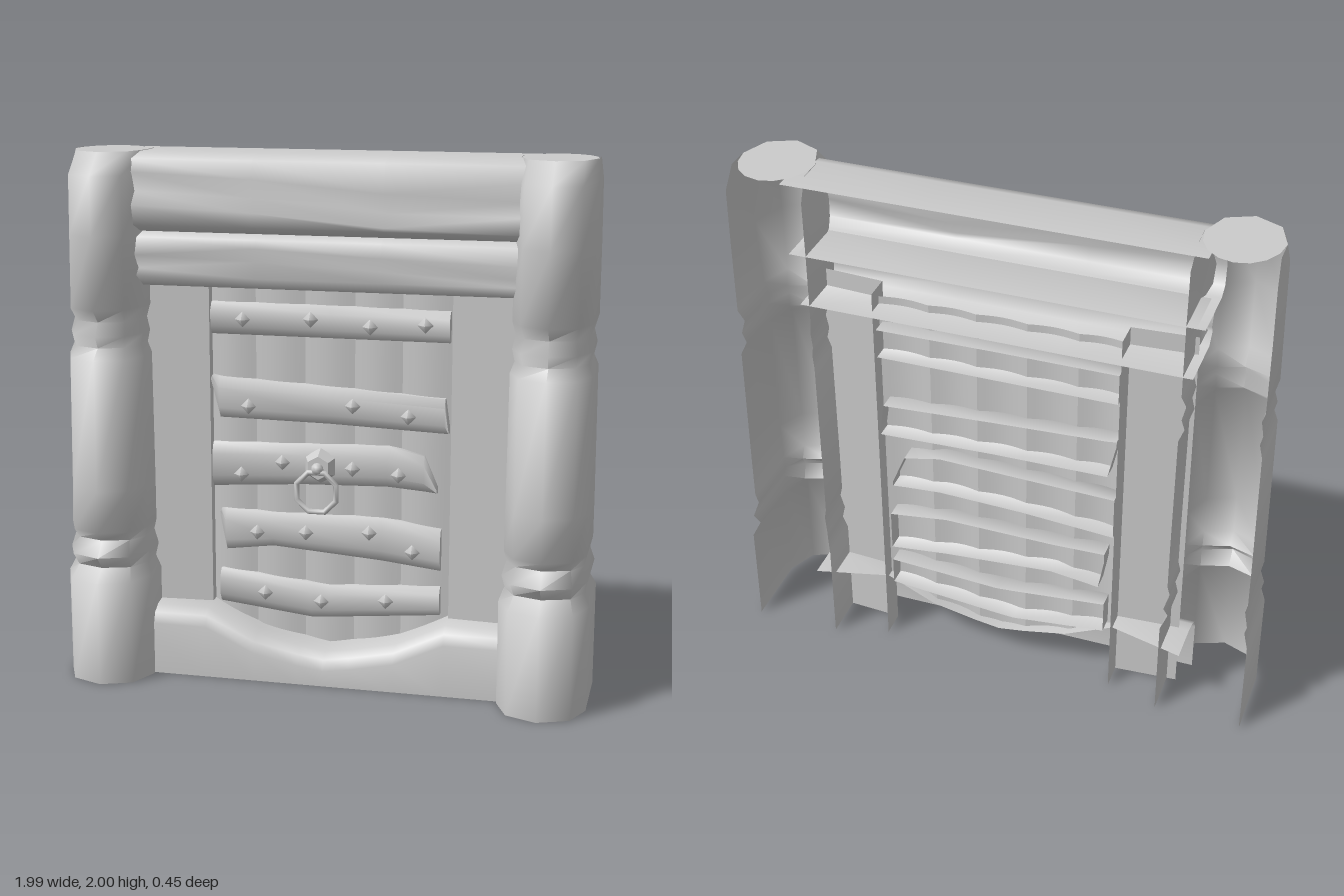
import * as THREE from 'three';
import { toCreasedNormals } from 'three/addons/utils/BufferGeometryUtils.js';

const grey = new THREE.MeshStandardMaterial({ color: 0xcccccc, side: THREE.DoubleSide });

function add(parent, name, geometry) {
  const mesh = new THREE.Mesh(geometry, grey);
  mesh.name = name;
  parent.add(mesh);
  return mesh;
}

// Skin over rows of [x, y, z] points; normals follow (column step) x (row step)
function sheet(rows, crease = 0.8) {
  const n = rows[0].length;
  const index = [];
  for (let i = 0; i < rows.length - 1; i++) {
    for (let j = 0; j < n - 1; j++) {
      const a = i * n + j, b = a + 1, c = a + n, d = c + 1;
      index.push(a, b, d, a, d, c);
    }
  }
  const g = new THREE.BufferGeometry();
  g.setAttribute('position', new THREE.Float32BufferAttribute(rows.flat(2), 3));
  g.setIndex(index);
  return toCreasedNormals(g, crease);
}

// Piecewise linear height of the dipped sill
const sillTop = [[-0.74, 0.27], [-0.46, 0.27], [-0.27, 0.18], [-0.1, 0.145], [0, 0.13],
  [0.1, 0.145], [0.27, 0.18], [0.46, 0.27], [0.74, 0.27]];
function sillHeight(x) {
  const i = Math.max(1, sillTop.findIndex((p) => p[0] >= x));
  const [a, b] = [sillTop[i - 1], sillTop[i]];
  return a[1] + (b[1] - a[1]) * (x - a[0]) / (b[0] - a[0]);
}

// Turned post, rounded in front and open at the back:
// [y, half width, front z, z where the rounding starts, back z]
const postLevels = [
  [0, 0.165, 0.225, 0.07, -0.22], [0.4, 0.165, 0.225, 0.07, -0.22], [0.445, 0.145, 0.165, 0.05, -0.19],
  [0.495, 0.157, 0.21, 0.06, -0.215], [0.55, 0.141, 0.155, 0.05, -0.195], [0.59, 0.15, 0.2, 0.06, -0.2],
  [0.75, 0.15, 0.2, 0.05, -0.2], [1.245, 0.147, 0.192, 0.04, -0.2], [1.285, 0.132, 0.14, 0.03, -0.18],
  [1.33, 0.142, 0.165, 0.03, -0.19], [1.38, 0.131, 0.13, 0.02, -0.18], [1.43, 0.145, 0.182, 0.02, -0.2],
  [1.7, 0.145, 0.182, -0.01, -0.2], [1.92, 0.143, 0.18, -0.02, -0.2], [2, 0.137, 0.09, -0.06, -0.15]];
function post(parent, side) {
  const g = new THREE.Group();
  g.name = side > 0 ? 'leftPost' : 'rightPost';
  g.position.x = 0.83 * side;
  const rows = postLevels.map(([y, w, zf, zs, zb]) => {
    const row = [[-w, y, zb]];
    for (let k = 0; k <= 4; k++) {
      const a = Math.PI * (1 - k / 4);
      row.push([w * Math.cos(a), y, zs + (zf - zs) * Math.sin(a)]);
    }
    row.push([w, y, zb]);
    return row;
  });
  add(g, 'postShell', sheet(rows, 1.4));
  // Flat oval cap: the rounded top edge of the shell closed by an arc at the back
  const outline = rows.at(-1).slice(1, -1).map(([x, , z]) => new THREE.Vector2(x, -z));
  for (let k = 1; k < 8; k++) {
    const a = Math.PI * k / 8;
    outline.push(new THREE.Vector2(0.137 * Math.cos(a), 0.06 + 0.17 * Math.sin(a)));
  }
  add(g, 'postCap', new THREE.ShapeGeometry(new THREE.Shape(outline)).rotateX(-Math.PI / 2).translate(0, 2, 0));
  parent.add(g);
}

// Rough lintel beam, open at the back; profile [y, z], warp tilts the middle ridges along x
function beam(parent, name, profile, halfLength, warp) {
  const rows = [-1, -0.35, 0.3, 1].map((t, s) => profile.map(([y, z], j) => {
    const k = j > 2 && j < profile.length - 3 ? warp[s] : 0;
    return [t * halfLength, y + k, z];
  }));
  add(parent, name, sheet(rows, 1.4));
}

// Strap data: [x, top, bottom] stations and stud positions
const straps = [
  { at: [[-0.455, 1.44, 1.32], [0, 1.44, 1.32], [0.45, 1.435, 1.32]],
    studs: [[-0.33, 1.38], [-0.07, 1.39], [0.155, 1.37], [0.36, 1.385]] },
  { at: [[-0.455, 1.16, 1.14], [-0.425, 1.155, 1.0], [0, 1.135, 0.995], [0.435, 1.11, 0.98], [0.45, 1.0, 0.98]],
    studs: [[-0.31, 1.05], [0.09, 1.07], [0.3, 1.04]] },
  { at: [[-0.455, 0.9, 0.73], [-0.1, 0.91, 0.755], [0.22, 0.92, 0.765], [0.36, 0.89, 0.755], [0.41, 0.77, 0.75]],
    studs: [[-0.34, 0.785], [-0.18, 0.84], [0.09, 0.83], [0.265, 0.815]] },
  { at: [[-0.425, 0.64, 0.6], [-0.405, 0.64, 0.48], [-0.22, 0.635, 0.505], [0.2, 0.64, 0.475], [0.425, 0.61, 0.45]],
    studs: [[-0.28, 0.56], [-0.09, 0.57], [0.155, 0.585], [0.32, 0.52]] },
  { at: [[-0.43, 0.4, 0.27], [-0.07, 0.365, 0.23], [0, 0.36, 0.235], [0.425, 0.385, 0.275]],
    studs: [[-0.25, 0.32], [-0.03, 0.3], [0.22, 0.32]] }];

function strap(parent, { at, studs }) {
  const back = -0.16;
  const rows = at.map(([x, t, b]) => {
    const e = (t - b) * 0.25;
    return [[x, t, back], [x, t, -0.075], [x, t - e, -0.057], [x, b + e, -0.057], [x, b, -0.075], [x, b, back]];
  });
  const end = (row) => row.map(([x, y]) => [x, y, back]);
  add(parent, 'strap', sheet([end(rows[0]), ...rows, end(rows.at(-1))], 1.2));
  for (const [x, y] of studs) {
    const stud = add(parent, 'stud', toCreasedNormals(new THREE.OctahedronGeometry(0.03), 1.5));
    stud.scale.z = 0.8;
    stud.position.set(x, y, -0.055);
  }
}

export function createModel() {
  const model = new THREE.Group();
  model.name = 'doorway';

  // Posts and jambs on both sides
  for (const side of [1, -1]) {
    post(model, side);
    const plan = [[0.7, -0.045], [0.46, -0.06], [0.46, -0.16]].map(([x, z]) => [x * side, z]);
    if (side > 0) plan.reverse();
    add(model, side > 0 ? 'leftJamb' : 'rightJamb',
      sheet([0, 1.58].map((y) => plan.map(([x, z]) => [x, y, z]))));
  }

  // Two lintel beams
  beam(model, 'topBeam', [[1.998, -0.23], [1.998, -0.03], [1.975, 0.035], [1.9, 0.06], [1.83, 0.045],
    [1.78, 0.07], [1.735, 0.06], [1.71, 0.02], [1.71, -0.2]], 0.75, [0.03, 0.01, -0.03, 0.02]);
  beam(model, 'lowerBeam', [[1.712, -0.2], [1.712, 0.0], [1.69, 0.045], [1.64, 0.06], [1.59, 0.04],
    [1.55, 0.055], [1.51, 0.02], [1.51, -0.2]], 0.72, [-0.015, 0.02, 0, -0.015]);

  // Sill: dipped in the middle, its top edge rounded back towards the door
  add(model, 'sill', sheet(sillTop.map(([x, t]) => [
    [x, t, Math.abs(x) > 0.46 ? -0.2 : -0.13], [x, t, -0.05], [x, t - 0.008, 0.0],
    [x, t - 0.03, 0.04], [x, t - 0.07, 0.055], [x, 0, 0.055]]), 1.4));

  // Door of gently bowed planks
  const door = new THREE.Group();
  door.name = 'door';
  model.add(door);
  const seams = [-0.46, -0.29, -0.1, 0.09, 0.27, 0.46];
  for (let i = 0; i < seams.length - 1; i++) {
    const row = [];
    for (let k = 0; k <= 6; k++) {
      const x = seams[i] + (seams[i + 1] - seams[i]) * k / 6;
      row.push([x, -0.1 + 0.012 * Math.sin(Math.PI * k / 6)]);
    }
    add(door, 'plank', sheet([
      row.map(([x, z]) => [x, sillHeight(x) - 0.01, z]),
      row.map(([x, z]) => [x, 1.54, z])]));
  }

  // Iron straps with studs
  straps.forEach((s) => strap(door, s));

  // Ring handle on a hexagonal boss
  const boss = add(door, 'handleBoss', toCreasedNormals(new THREE.CylinderGeometry(0.045, 0.068, 0.045, 6).rotateX(Math.PI / 2), 0.9));
  boss.position.set(-0.033, 0.835, -0.04);
  const pin = add(door, 'handlePin', new THREE.SphereGeometry(0.024, 8, 6));
  pin.position.set(-0.033, 0.835, -0.005);
  const ring = add(door, 'handleRing', new THREE.TorusGeometry(0.081, 0.011, 6, 8));
  ring.rotation.z = Math.PI / 8;
  ring.position.set(-0.035, 0.747, 0);
  return model;
}
